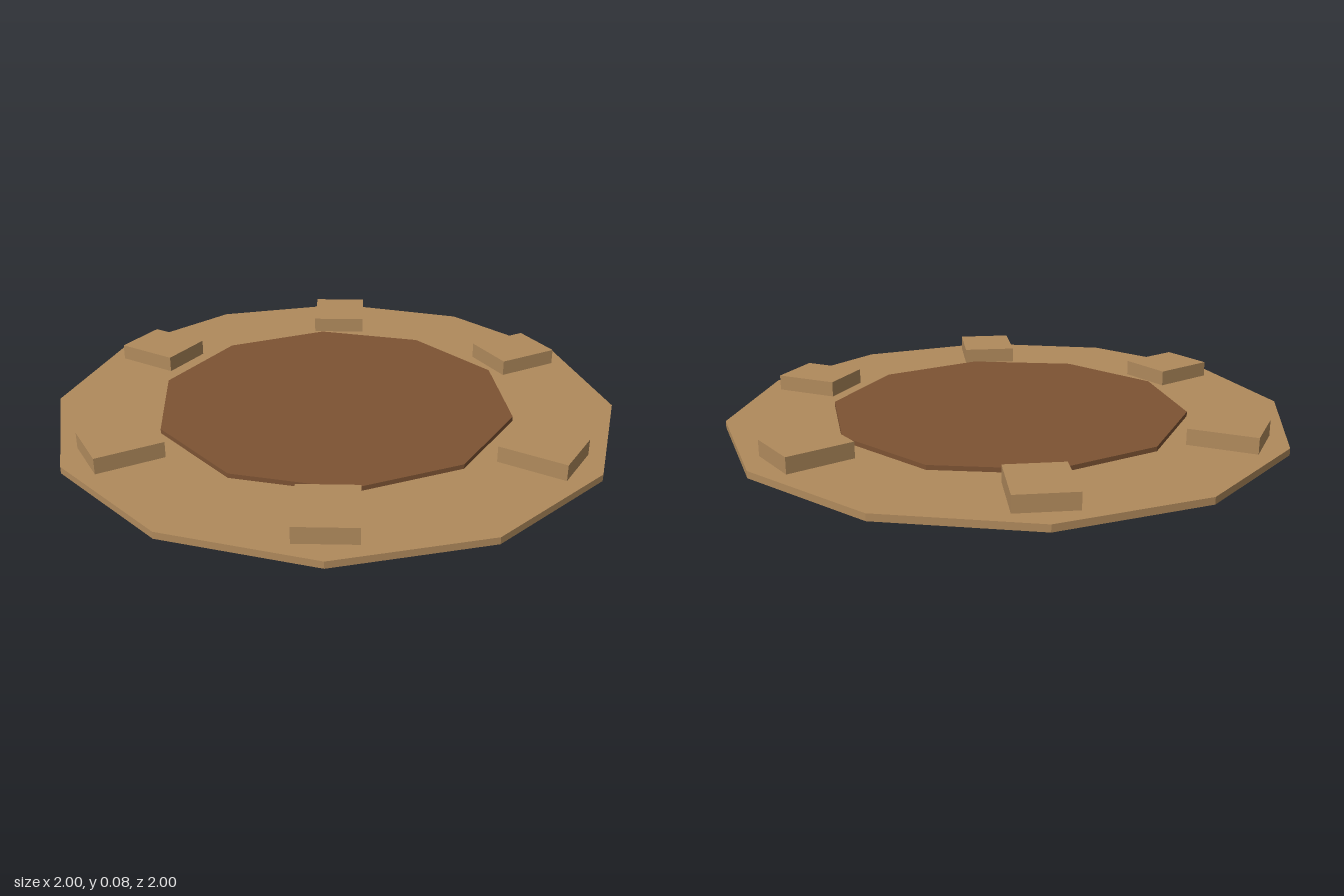
import * as THREE from 'three';

export function createModel() {
  const model = new THREE.Group();
  const tan = new THREE.MeshStandardMaterial({ name: 'light wood', color: 0xb08a5c, flatShading: true });
  const brown = new THREE.MeshStandardMaterial({ name: 'dark wood', color: 0x7d5333, flatShading: true });

  const add = (name, geometry, material, y) => {
    const mesh = new THREE.Mesh(geometry, material);
    mesh.name = name;
    mesh.position.y = y;
    model.add(mesh);
    return mesh;
  };

  // Twelve-sided base slab
  add('base', new THREE.CylinderGeometry(1, 1, 0.024, 12), tan, 0.012);

  // Ten-sided raised centre
  add('centrePlate', new THREE.CylinderGeometry(0.64, 0.64, 0.03, 10), brown, 0.025);

  // Six blocks around the rim, long side pointing outward
  const blockGeometry = new THREE.BoxGeometry(0.236, 0.06, 0.2);
  for (let i = 0; i < 6; i++) {
    const angle = (i * Math.PI) / 3;
    const block = add(`rimBlock${i + 1}`, blockGeometry, tan, 0.05);
    block.position.x = Math.cos(angle) * 0.798;
    block.position.z = -Math.sin(angle) * 0.798;
    block.rotation.y = angle;
  }
  return model;
}
